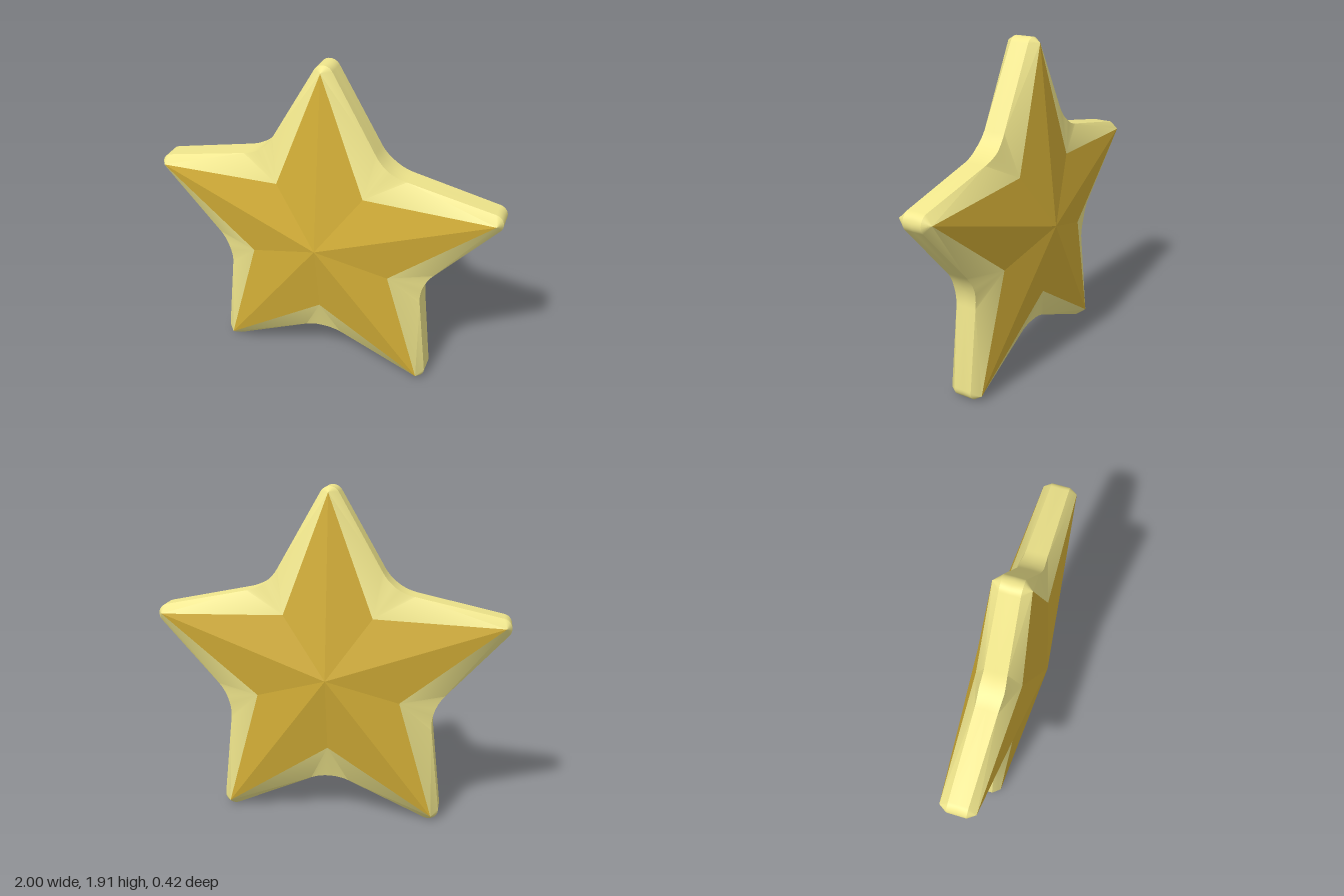
import * as THREE from 'three';
import { toCreasedNormals } from 'three/addons/utils/BufferGeometryUtils.js';

const CENTER_Y = 0.86;
const RAD = Math.PI / 180;
const vec = (x, y, z) => new THREE.Vector3(x, y, z);

// Repeats the triangles of half an arm (x > 0, z > 0) over both halves, both faces and five arms.
function starGeometry(triangles) {
  const positions = [];
  const axis = vec(0, 0, 1);
  for (let arm = 0; arm < 5; arm++) {
    for (const sx of [1, -1]) {
      for (const sz of [1, -1]) {
        for (const [a, b, c] of triangles) {
          const corners = sx * sz > 0 ? [a, b, c] : [a, c, b];
          for (const p of corners) {
            const q = vec(p.x * sx, p.y, p.z * sz).applyAxisAngle(axis, arm * 72 * RAD);
            positions.push(q.x, q.y, q.z);
          }
        }
      }
    }
  }
  const geometry = new THREE.BufferGeometry();
  geometry.setAttribute('position', new THREE.Float32BufferAttribute(positions, 3));
  geometry.computeVertexNormals();
  return geometry;
}

// Half outline of an arm, from the rounded tip to the filleted valley.
function halfOutline() {
  const tip = [], valley = [];
  const tipRadius = 0.0577, tipCenter = 0.992;
  for (let i = 0; i <= 5; i++) {
    const t = (90 - i * 12) * RAD;
    tip.push(vec(tipRadius * Math.cos(t), tipCenter + tipRadius * Math.sin(t), 0.055));
  }
  const filletRadius = 0.27, filletCenter = 0.9;
  for (let i = 0; i <= 5; i++) {
    const t = 24 * (1 - i / 5) * RAD;
    const across = filletRadius * Math.sin(t);
    const along = filletCenter - filletRadius * Math.cos(t);
    const s = Math.sin(36 * RAD), c = Math.cos(36 * RAD);
    valley.push(vec(along * s - across * c, along * c + across * s, 0.062 + 0.006 * i / 5));
  }
  return { tip, valley };
}

export function createModel() {
  const star = new THREE.Group();
  star.name = 'star';

  const apex = vec(0, 0, 0.212);
  const innerTip = vec(0, 1.022, 0.1);
  const innerValley = vec(0.428 * Math.sin(36 * RAD), 0.428 * Math.cos(36 * RAD), 0.13);

  // Faceted gold faces, front and back
  const facets = new THREE.Mesh(
    starGeometry([[apex, innerValley, innerTip]]),
    new THREE.MeshStandardMaterial({ color: 0xd4af37, flatShading: true })
  );
  facets.name = 'facetedFaces';

  // Pale rim: sloping bevel around the facets, and the outer wall
  const { tip, valley } = halfOutline();
  const tipEnd = tip[tip.length - 1];
  const rimTriangles = [[innerTip, innerValley, valley[0]], [innerTip, valley[0], tipEnd]];
  const fan = (inner, points) => {
    for (let i = 0; i < points.length - 1; i++) rimTriangles.push([inner, points[i + 1], points[i]]);
  };
  fan(innerTip, tip);
  fan(innerValley, valley);

  const outline = [...tip, ...valley];
  const middle = outline.map((p) => vec(p.x, p.y, 0));
  for (let i = 0; i < outline.length - 1; i++) {
    rimTriangles.push([outline[i], outline[i + 1], middle[i + 1]], [outline[i], middle[i + 1], middle[i]]);
  }
  const rim = new THREE.Mesh(
    toCreasedNormals(starGeometry(rimTriangles), 0.45),
    new THREE.MeshStandardMaterial({ color: 0xf0e68c })
  );
  rim.name = 'bevelledRim';

  star.add(facets, rim);
  star.position.y = CENTER_Y;
  const model = new THREE.Group();
  model.name = 'starModel';
  model.add(star);
  return model;
}
